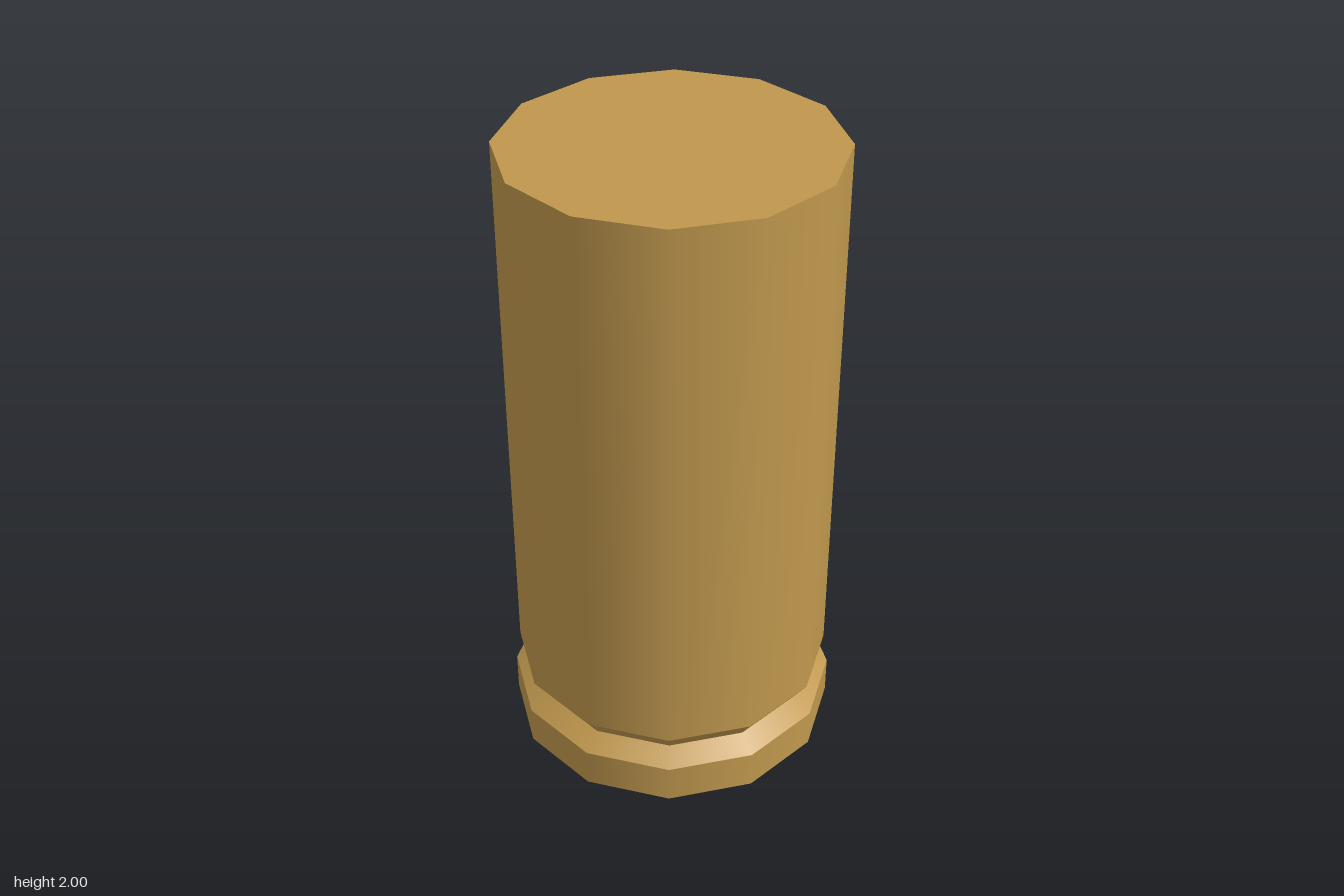
import * as THREE from 'three';

export function createModel() {
  const group = new THREE.Group();
  group.name = 'casing';
  const brass = new THREE.MeshStandardMaterial({ color: 0xc0984e });
  brass.name = 'brass';
  const SIDES = 12;

  // Smooth twelve-sided band between two heights, with sharp ends
  const band = (name, y0, r0, y1, r1) => {
    const geometry = new THREE.CylinderGeometry(r1, r0, y1 - y0, SIDES, 1, true);
    const mesh = new THREE.Mesh(geometry, brass);
    mesh.name = name;
    mesh.position.y = (y0 + y1) / 2;
    group.add(mesh);
  };

  // Flat end disc, corners lined up with the bands
  const disc = (name, y, r, tilt) => {
    const geometry = new THREE.CircleGeometry(r, SIDES);
    geometry.rotateX(tilt);
    const mesh = new THREE.Mesh(geometry, brass);
    mesh.name = name;
    mesh.position.y = y;
    group.add(mesh);
  };

  disc('base', 0, 0.516, Math.PI / 2);
  band('rim', 0, 0.516, 0.125, 0.516);
  band('rimBevel', 0.125, 0.516, 0.17, 0.455);
  band('grooveBevel', 0.17, 0.455, 0.234, 0.5);
  band('body', 0.234, 0.5, 2, 0.5);
  disc('topCap', 2, 0.5, -Math.PI / 2);

  return group;
}
